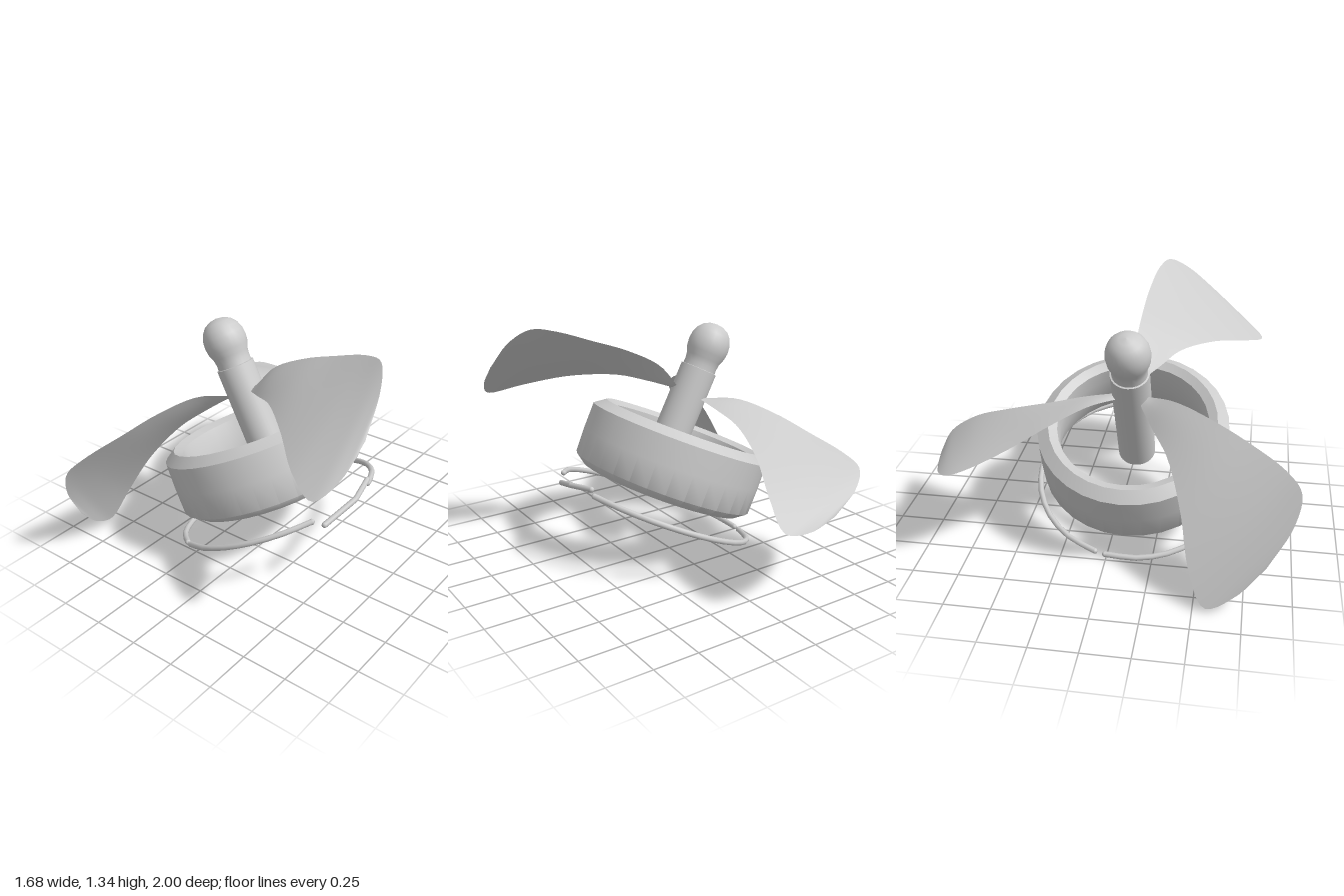
import * as THREE from 'three';
import { toCreasedNormals } from 'three/addons/utils/BufferGeometryUtils.js';

const rad = THREE.MathUtils.degToRad;
const V2 = ([x, y]) => new THREE.Vector2(x, y);
const V3 = ([x, y, z]) => new THREE.Vector3(x, y, z);

const PIVOT = V3([-0.265, 1.025, 0.095]); // collar of the shaft
const SHAFT_TILT = rad(27.5);
const RING_TILT = rad(24.4);

const mat = new THREE.MeshStandardMaterial({ color: 0xcccccc });
const thinMat = new THREE.MeshStandardMaterial({ color: 0xcccccc, side: THREE.DoubleSide });

function mesh(name, geometry, material = mat) {
  const m = new THREE.Mesh(geometry, material);
  m.name = name;
  return m;
}

// Blade edges run from the root to the middle of the rounded tip
const HIGH_EDGE = [
  [-0.125, 0.935, 0.09], [0, 1.08, 0.09], [0.2, 1.19, 0.1], [0.4, 1.265, 0.115], [0.6, 1.335, 0.15],
  [0.71, 1.35, 0.2], [0.785, 1.27, 0.32], [0.825, 1.1, 0.5],
];
const LOW_EDGE = [
  [-0.125, 0.925, 0.14], [0, 0.965, 0.23], [0.14, 1.0, 0.32], [0.35, 0.985, 0.5], [0.56, 0.92, 0.69],
  [0.73, 0.88, 0.77], [0.805, 0.965, 0.66], [0.825, 1.1, 0.5],
];

// Thin lens-shaped skin stretched between the two edges, in the shaft's frame
function bladeGeometry(n = 32, m = 10) {
  const high = new THREE.CatmullRomCurve3(HIGH_EDGE.map(V3), false, 'centripetal');
  const low = new THREE.CatmullRomCurve3(LOW_EDGE.map(V3), false, 'centripetal');
  const positions = [], index = [];
  for (const side of [1, -1]) {
    const base = positions.length / 3;
    for (let i = 0; i <= n; i++) {
      const a = high.getPoint(i / n), b = low.getPoint(i / n);
      for (let j = 0; j <= m; j++) {
        const t = j / m;
        const p = a.clone().lerp(b, t);
        p.y += side * 0.008 * Math.sin(Math.PI * t) * Math.sqrt(1 - i / n);
        positions.push(p.x, p.y, p.z);
      }
    }
    for (let i = 0; i < n; i++) {
      for (let j = 0; j < m; j++) {
        const k = base + i * (m + 1) + j, l = k + m + 1;
        if (side > 0) index.push(k, k + 1, l, l, k + 1, l + 1);
        else index.push(k, l, k + 1, l, l + 1, k + 1);
      }
    }
  }
  const g = new THREE.BufferGeometry();
  g.setAttribute('position', new THREE.Float32BufferAttribute(positions, 3));
  g.setIndex(index);
  g.translate(-PIVOT.x, -PIVOT.y, -PIVOT.z);
  g.rotateZ(-SHAFT_TILT);
  g.computeVertexNormals();
  return g;
}

// Round rod through points, with rounded ends
function rod(name, points, segments) {
  const group = new THREE.Group();
  group.name = name;
  const curve = points.length > 2 ? new THREE.CatmullRomCurve3(points) : new THREE.LineCurve3(...points);
  group.add(mesh('rodBody', new THREE.TubeGeometry(curve, segments, 0.016, 8)));
  for (const p of [points[0], points[points.length - 1]]) {
    const end = mesh('rodEnd', new THREE.SphereGeometry(0.016, 8, 6));
    end.position.copy(p);
    group.add(end);
  }
  return group;
}

export function createModel() {
  const model = new THREE.Group();
  model.name = 'propeller';

  // Shaft with a collar step and rounded knob, and its three blades
  const rotor = new THREE.Group();
  rotor.name = 'rotor';
  rotor.position.copy(PIVOT);
  rotor.rotation.z = SHAFT_TILT;
  model.add(rotor);

  const shaft = [[0, -0.704], [0.105, -0.704], [0.105, 0], [0.096, 0.002]];
  rotor.add(mesh('shaft', toCreasedNormals(new THREE.LatheGeometry(shaft.map(V2), 32), 0.7)));
  const knob = [[0.096, 0], [0.095, 0.03], [0.1, 0.065], [0.114, 0.1], [0.119, 0.14], [0.115, 0.18],
    [0.1, 0.218], [0.075, 0.248], [0.04, 0.266], [0, 0.272]];
  rotor.add(mesh('knob', new THREE.LatheGeometry(knob.map(V2), 24)));

  const blade = bladeGeometry();
  [[0, 1], [115, 1.03], [229, 1.02]].forEach(([angle, scale], i) => {
    const b = mesh('blade' + (i + 1), blade, thinMat);
    b.rotation.y = -rad(angle);
    b.scale.setScalar(scale);
    rotor.add(b);
  });

  // Bevelled duct ring around the shaft, wider inside toward the bottom
  const ringProfile = [[0.47, -0.19], [0.525, -0.148], [0.528, 0], [0.525, 0.146], [0.462, 0.19],
    [0.415, 0.165], [0.408, 0.09], [0.42, -0.03], [0.445, -0.13], [0.47, -0.19]];
  const ring = mesh('ductRing', toCreasedNormals(new THREE.LatheGeometry(ringProfile.map(V2), 32), 0.9));
  ring.position.set(-0.078, 0.528, 0.097);
  ring.rotation.z = RING_TILT;
  model.add(ring);

  // Broken circle of rods under the ring
  const circle = new THREE.Group();
  circle.name = 'directionCircle';
  circle.position.set(0.031, 0.255, 0.1);
  circle.rotation.z = RING_TILT;
  model.add(circle);
  for (const [from, to, count] of [[31, 115, 5], [120, 191, 4], [197, 343, 8]]) {
    const points = [];
    for (let i = 0; i <= count; i++) {
      const a = rad(from + (to - from) * i / count);
      points.push(V3([0.56 * Math.cos(a), 0, 0.565 * Math.sin(a)]));
    }
    circle.add(rod('circleArc', points, count * 2));
  }

  // Arrowhead closing the circle
  const tip = V3([0.56, 0.487, 0.12]);
  model.add(rod('arrowBarbBack', [tip, V3([0.525, 0.51, -0.045])], 1));
  model.add(rod('arrowBarbFront', [tip, V3([0.51, 0.42, 0.335])], 1));

  return model;
}
